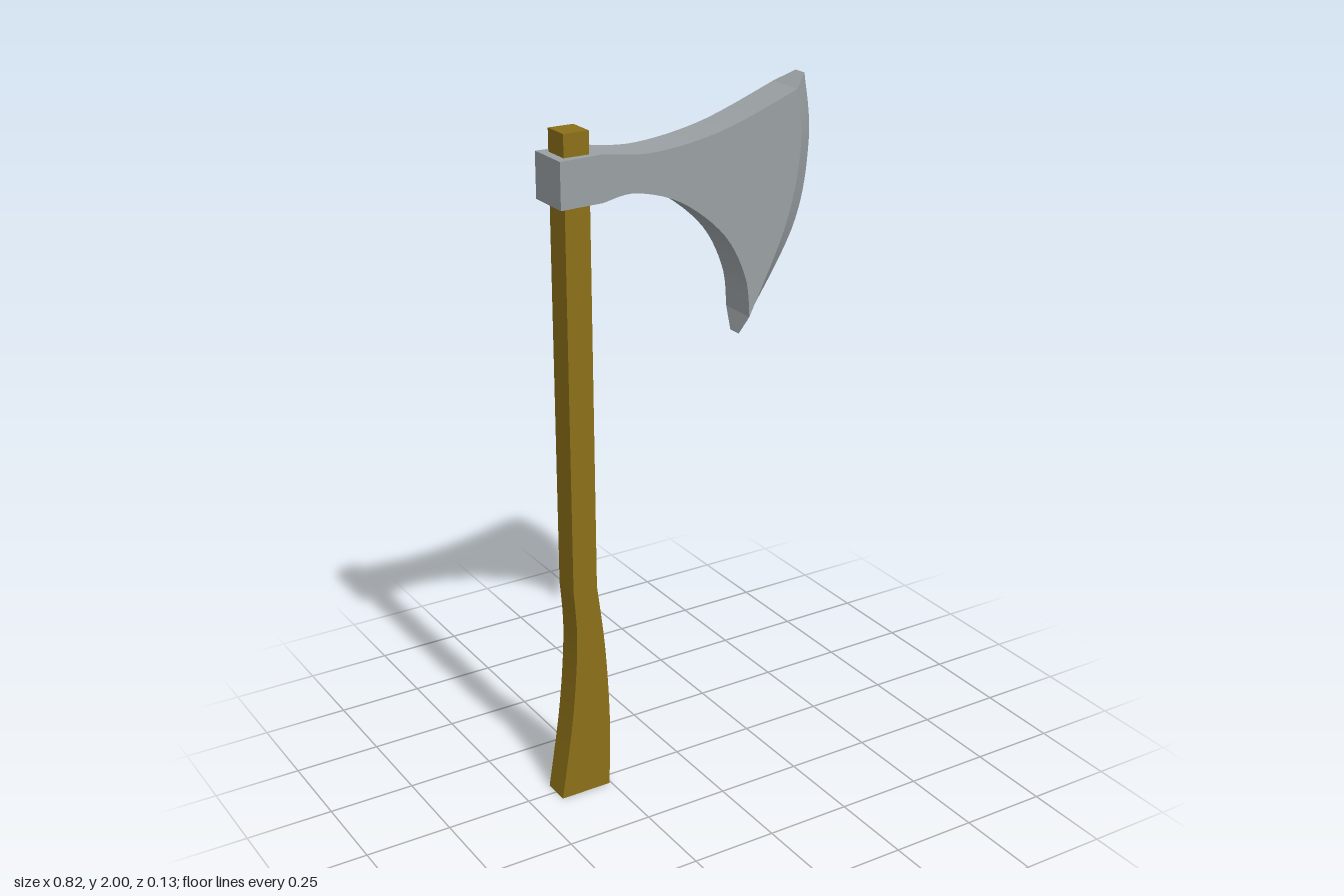
import * as THREE from 'three';
import { toCreasedNormals } from 'three/addons/utils/BufferGeometryUtils.js';

const steel = new THREE.MeshStandardMaterial({ color: 0x9aa0a3 });
const wood = new THREE.MeshStandardMaterial({ color: 0x8b6f18 });

const spline = (pts, n = 20) =>
  new THREE.SplineCurve(pts.map(([x, y]) => new THREE.Vector2(x, y))).getPoints(n);
const points = (...pts) => pts.map(([x, y]) => new THREE.Vector2(x, y));

// Slab of an outline, centred on z = 0
function slab(outline, halfDepth) {
  const geometry = new THREE.ExtrudeGeometry(new THREE.Shape(outline), {
    depth: halfDepth * 2, bevelEnabled: false,
  });
  return geometry.translate(0, 0, -halfDepth);
}

function part(name, geometry, material) {
  const mesh = new THREE.Mesh(toCreasedNormals(geometry, 0.4), material);
  mesh.name = name;
  return mesh;
}

// Four-cornered wedge section swept from the inner line to the cutting line
function bevelGeometry(inner, outer, innerHalf, outerHalf) {
  const position = [], index = [];
  inner.forEach((p, i) => {
    const q = outer[i];
    position.push(p.x, p.y, innerHalf, q.x, q.y, outerHalf,
      q.x, q.y, -outerHalf, p.x, p.y, -innerHalf);
    if (i === 0) return;
    const a = (i - 1) * 4, b = i * 4;
    for (let k = 0; k < 3; k++) {
      index.push(a + k, b + k, b + k + 1, a + k, b + k + 1, a + k + 1);
    }
  });
  // End caps
  const e = (inner.length - 1) * 4;
  index.push(0, 2, 3, 0, 1, 2, e, e + 3, e + 2, e, e + 2, e + 1);
  const geometry = new THREE.BufferGeometry();
  geometry.setAttribute('position', new THREE.Float32BufferAttribute(position, 3));
  geometry.setIndex(index);
  return geometry;
}

export function createModel() {
  const model = new THREE.Group();
  model.name = 'axe';

  // Handle: straight shaft flaring into a curved grip
  const gripBack = spline([[-0.36, 0.65], [-0.352, 0.49], [-0.37, 0.26], [-0.41, 0]]);
  const gripFront = spline([[-0.256, 0], [-0.251, 0.2], [-0.262, 0.44], [-0.286, 0.65]]);
  model.add(part('handle', slab([
    ...points([-0.286, 1.935], [-0.36, 1.935]), ...gripBack, ...gripFront,
  ], 0.04), wood));

  // Curves of the blade
  const topCurve = spline([[-0.257, 1.873], [-0.1, 1.857], [0.11, 1.888], [0.341, 1.968]]);
  const bevelLine = spline([[0.341, 1.968], [0.357, 1.815], [0.315, 1.603], [0.198, 1.354]], 28);
  const cuttingLine = spline([[0.389, 2], [0.409, 1.815], [0.362, 1.577], [0.188, 1.296]], 28);
  const beard = spline([[0.198, 1.354], [0.183, 1.47], [0.114, 1.6], [-0.02, 1.71],
    [-0.16, 1.757], [-0.257, 1.746]], 28);

  const head = new THREE.Group();
  head.name = 'axeHead';
  model.add(head);

  // Blade body
  head.add(part('bladeBody', slab([
    ...topCurve, ...bevelLine.slice(1), ...beard.slice(1),
  ], 0.058), steel));

  // Socket around the handle, thicker towards the back
  const socket = slab(points([-0.385, 1.746], [-0.257, 1.746], [-0.257, 1.873], [-0.385, 1.873]), 0.058);
  const pos = socket.attributes.position;
  for (let i = 0; i < pos.count; i++) {
    if (pos.getX(i) < -0.3) pos.setZ(i, Math.sign(pos.getZ(i)) * 0.066);
  }
  head.add(part('socket', socket, steel));

  // Bevelled cutting edge
  head.add(part('cuttingEdge', bevelGeometry(bevelLine, cuttingLine, 0.058, 0.021), steel));

  return model;
}
